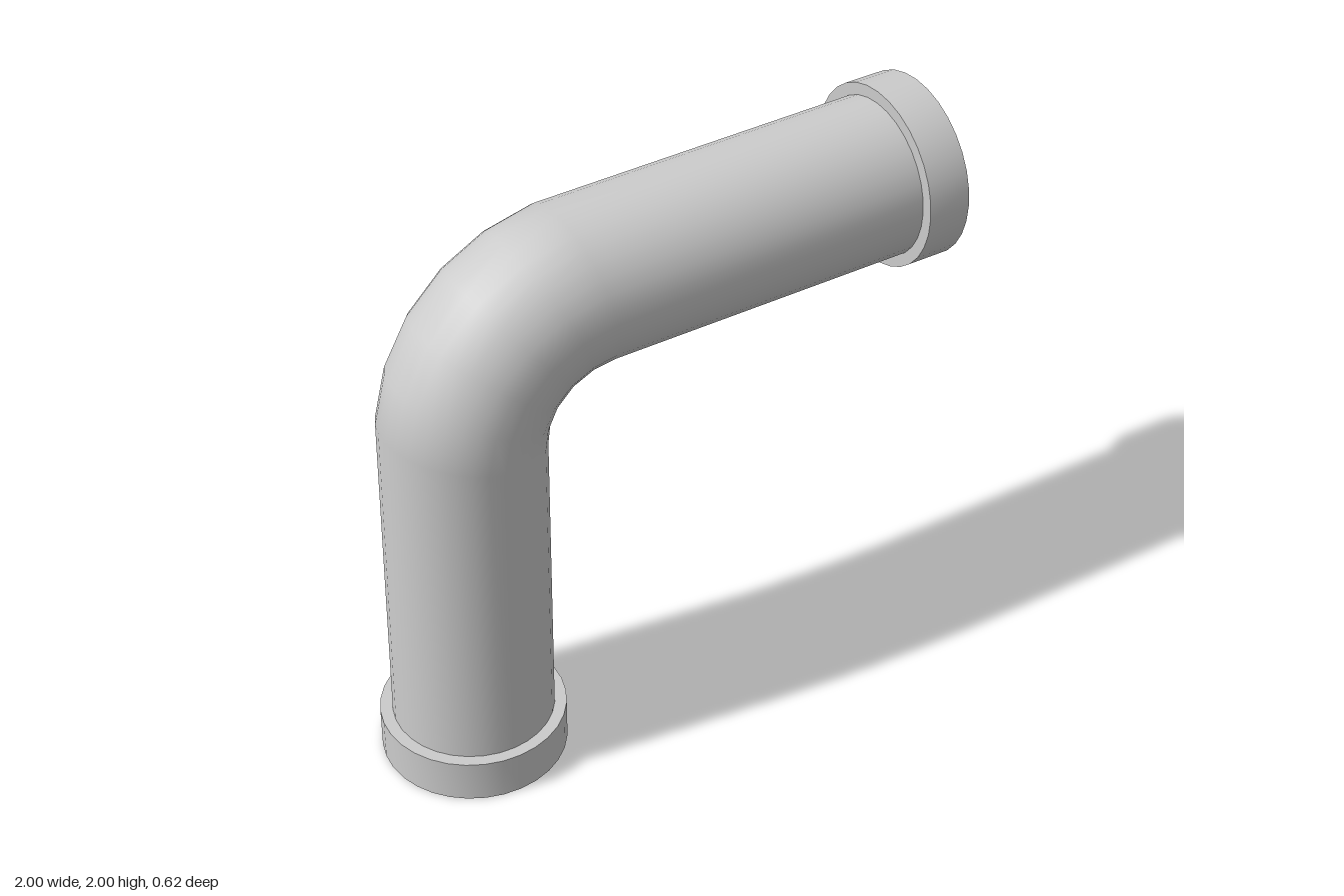
import * as THREE from 'three';
import { toCreasedNormals } from 'three/addons/utils/BufferGeometryUtils.js';

const SIDES = 32;
const OUTER = 0.27, BORE = 0.257, COLLAR = 0.31, COLLAR_LENGTH = 0.15;
const AXIS_X = -0.69, AXIS_Y = 1.69;

// Stations along the pipe: centre and the direction towards the outside of the bend
function pipeStations() {
  const stations = [{ x: AXIS_X, y: 0, angle: 0 }];
  const steps = 5, start = THREE.MathUtils.degToRad(11.5);
  for (let i = 0; i <= steps; i++) {
    const angle = start + (Math.PI / 2 - 2 * start) * i / steps;
    const radius = 0.518 + 0.024 * Math.sin(Math.PI * i / steps);
    stations.push({
      x: -0.175 - radius * Math.cos(angle),
      y: 1.175 + radius * Math.sin(angle),
      angle,
    });
  }
  stations.push({ x: 1, y: AXIS_Y, angle: Math.PI / 2 });
  return stations;
}

// Loft a round wall through the stations, facing outwards or inwards
function wallGeometry(radius, inward) {
  const positions = [], index = [];
  const stations = pipeStations();
  stations.forEach(({ x, y, angle }, i) => {
    for (let j = 0; j < SIDES; j++) {
      const phi = j / SIDES * Math.PI * 2;
      const out = radius * Math.cos(phi);
      positions.push(x - out * Math.cos(angle), y + out * Math.sin(angle), radius * Math.sin(phi));
      if (i === stations.length - 1) continue;
      const a = i * SIDES + j, b = i * SIDES + (j + 1) % SIDES;
      const c = a + SIDES, d = b + SIDES;
      if (inward) index.push(a, c, b, b, c, d);
      else index.push(a, b, c, b, d, c);
    }
  });
  const geometry = new THREE.BufferGeometry();
  geometry.setAttribute('position', new THREE.Float32BufferAttribute(positions, 3));
  geometry.setIndex(index);
  geometry.computeVertexNormals();
  return geometry;
}

export function createModel() {
  const group = new THREE.Group();
  group.name = 'elbowPipe';
  const material = new THREE.MeshStandardMaterial({ color: 0xcccccc });
  const add = (name, geometry) => {
    const mesh = new THREE.Mesh(geometry, material);
    mesh.name = name;
    group.add(mesh);
    return mesh;
  };

  // Thin-walled bent pipe
  add('pipeOuterWall', wallGeometry(OUTER, false));
  add('pipeBore', wallGeometry(BORE, true));

  // Collars around both openings; their end faces also close the pipe wall
  const profile = [
    new THREE.Vector2(BORE, 0),
    new THREE.Vector2(COLLAR, 0),
    new THREE.Vector2(COLLAR, COLLAR_LENGTH),
    new THREE.Vector2(OUTER - 0.008, COLLAR_LENGTH),
  ];
  const collar = toCreasedNormals(new THREE.LatheGeometry(profile, SIDES), 0.6);
  add('bottomCollar', collar).position.set(AXIS_X, 0, 0);
  const sideCollar = add('sideCollar', collar);
  sideCollar.position.set(1, AXIS_Y, 0);
  sideCollar.rotation.z = Math.PI / 2;

  return group;
}
